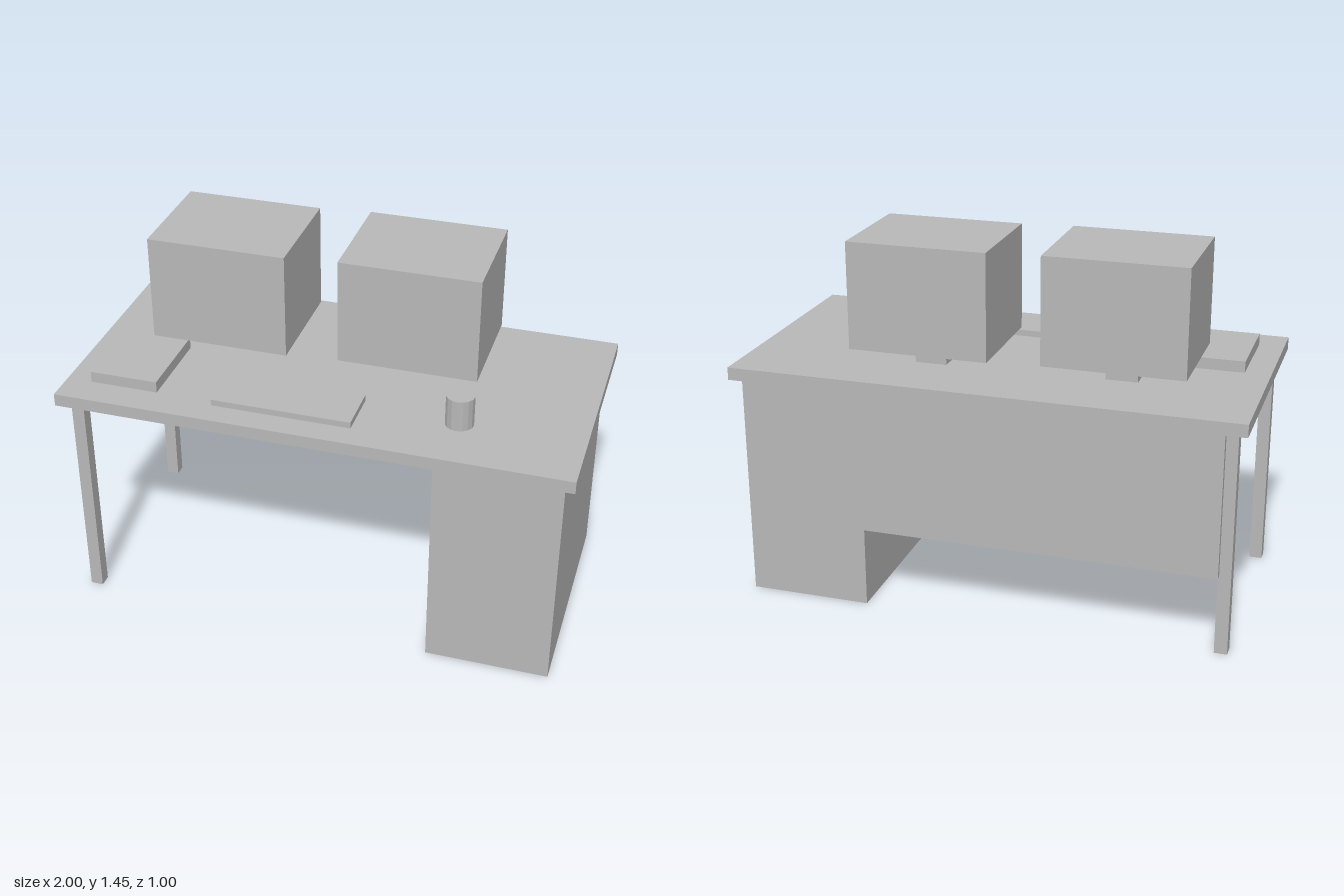
import * as THREE from 'three';

export function createModel() {
  const desk = new THREE.Group();
  desk.name = 'officeDesk';
  const grey = new THREE.MeshStandardMaterial({ color: 0xb8b8b8, flatShading: true });
  grey.name = 'plain grey';

  // Box given by its extents on each axis
  function box(name, [x0, x1], [y0, y1], [z0, z1], parent = desk) {
    const mesh = new THREE.Mesh(new THREE.BoxGeometry(x1 - x0, y1 - y0, z1 - z0), grey);
    mesh.position.set((x0 + x1) / 2, (y0 + y1) / 2, (z0 + z1) / 2);
    mesh.name = name;
    parent.add(mesh);
  }

  // Desk: top, drawer cabinet, back panel and two legs
  const topY = 0.95;
  box('deskTop', [-1, 1], [0.9, topY], [-0.5, 0.5]);
  box('cabinet', [0.475, 0.96], [0, 0.9], [-0.465, 0.465]);
  box('backPanel', [-0.915, 0.475], [0.32, 0.9], [-0.465, -0.44]);
  box('frontLeg', [-0.96, -0.91], [0, 0.9], [0.395, 0.445]);
  box('backLeg', [-0.96, -0.91], [0, 0.9], [-0.44, -0.39]);

  // Two deep monitors, each on a short stand
  for (const [name, x, z] of [['rightMonitor', -0.475, -0.125], ['leftMonitor', 0.2725, -0.15]]) {
    const monitor = new THREE.Group();
    monitor.name = name;
    monitor.position.set(x, topY, z);
    box('monitorStand', [-0.0625, 0.0625], [0, 0.08], [-0.075, 0.075], monitor);
    box('monitorCase', [-0.2735, 0.2735], [0.08, 0.5], [-0.225, 0.225], monitor);
    desk.add(monitor);
  }

  // Things lying on the desk
  box('paperStack', [-0.9, -0.63], [topY, 0.995], [0.025, 0.375]);
  box('keyboard', [-0.4, 0.147], [topY, 0.975], [0.2, 0.4]);

  const cup = new THREE.Mesh(new THREE.CylinderGeometry(0.055, 0.055, 0.125, 16), grey);
  cup.position.set(0.523, topY + 0.0625, 0.25);
  cup.name = 'cup';
  desk.add(cup);

  return desk;
}
